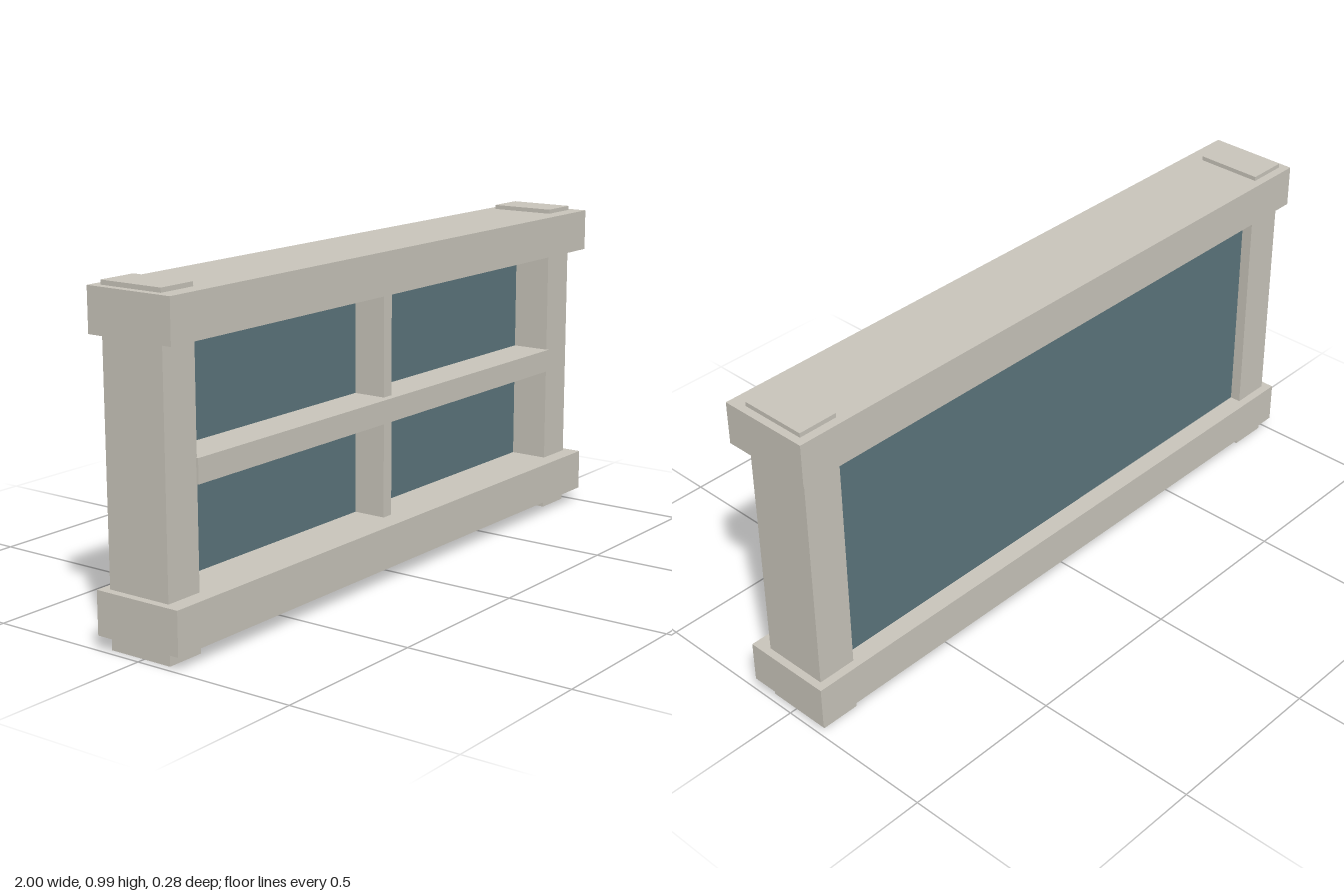
import * as THREE from 'three';

export function createModel() {
  const model = new THREE.Group();
  model.name = 'window';

  const frame = new THREE.MeshStandardMaterial({ color: 0xc9c5bb });
  frame.name = 'pale stone frame';
  const glass = new THREE.MeshStandardMaterial({ color: 0x5c757c });
  glass.name = 'blue grey glass';

  // Box given by its extents on each axis
  function box(name, material, [x0, x1], [y0, y1], [z0, z1]) {
    const mesh = new THREE.Mesh(new THREE.BoxGeometry(x1 - x0, y1 - y0, z1 - z0), material);
    mesh.position.set((x0 + x1) / 2, (y0 + y1) / 2, (z0 + z1) / 2);
    mesh.name = name;
    model.add(mesh);
  }

  // Wide sill and lintel
  box('bottomRail', frame, [-1, 1], [0.042, 0.168], [-0.14, 0.14]);
  box('topRail', frame, [-1, 1], [0.847, 0.973], [-0.14, 0.14]);

  // Posts run through both rails and stick out at the ends
  const postZ = [-0.114, 0.09];
  box('leftPost', frame, [0.857, 0.977], [0, 0.986], postZ);
  box('rightPost', frame, [-0.977, -0.857], [0, 0.986], postZ);

  // Glass sheet set towards the back
  box('glassPane', glass, [-0.86, 0.86], [0.16, 0.855], [-0.08, -0.03]);

  // Glazing bars on the front only, the crossbar standing proud
  box('crossbar', frame, [-0.86, 0.86], [0.46, 0.53], [-0.035, 0.097]);
  box('mullion', frame, [-0.019, 0.019], [0.16, 0.855], [-0.035, 0.073]);

  return model;
}
